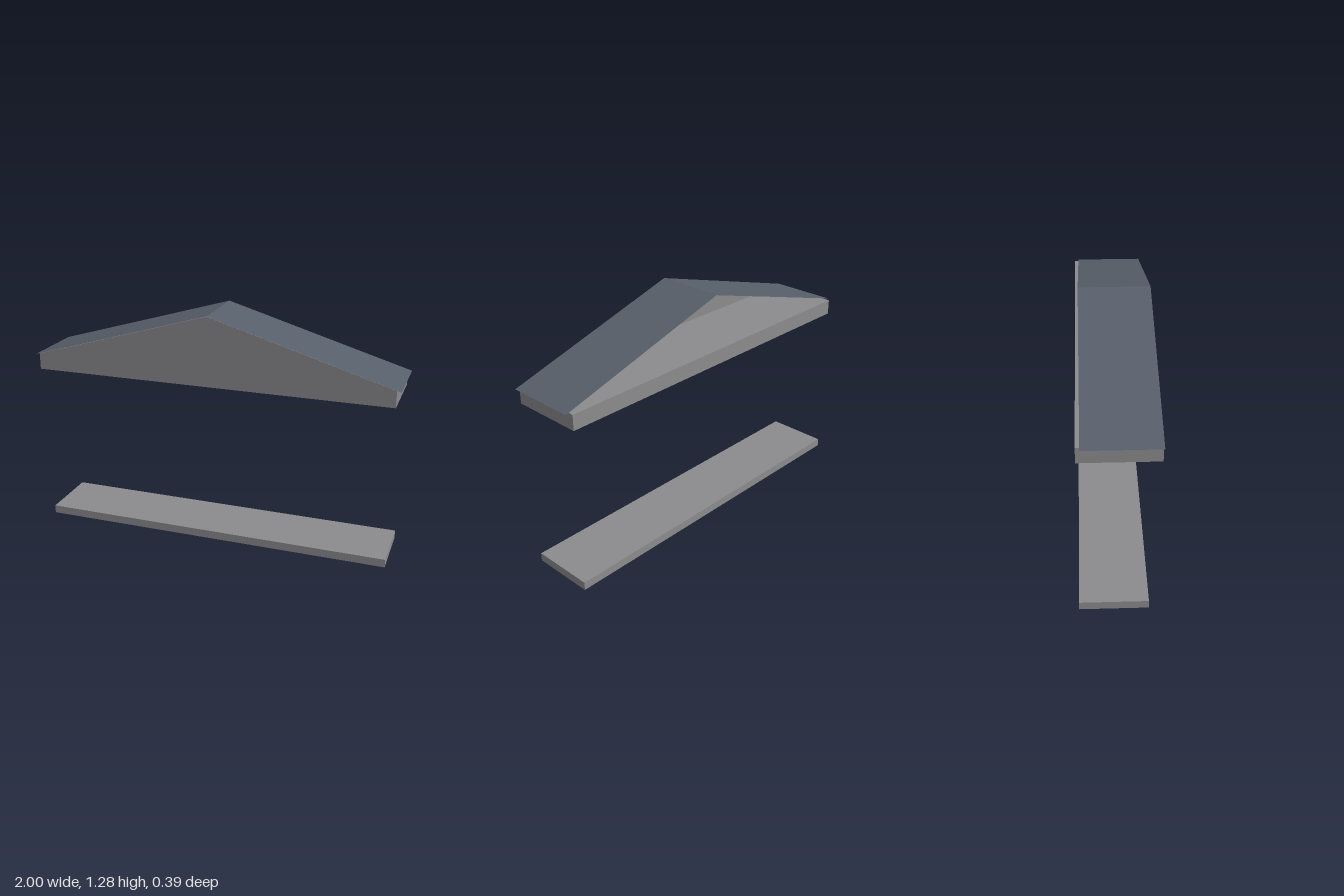
import * as THREE from 'three';

const grey = new THREE.MeshStandardMaterial({ color: 0x8c8c8e, name: 'stone grey' });
const slate = new THREE.MeshStandardMaterial({ color: 0x575f6a, name: 'slate blue', side: THREE.DoubleSide });

// Block given by its lower and upper corners
function block(name, [x0, y0, z0], [x1, y1, z1]) {
  const mesh = new THREE.Mesh(new THREE.BoxGeometry(x1 - x0, y1 - y0, z1 - z0), grey);
  mesh.position.set((x0 + x1) / 2, (y0 + y1) / 2, (z0 + z1) / 2);
  mesh.name = name;
  return mesh;
}

export function createModel() {
  const model = new THREE.Group();
  model.name = 'pediment';
  const eave = 0.991, ridge = 1.285, roofBack = -0.175, roofFront = 0.198;

  // Floor slab and the beam under the gable
  model.add(block('baseSlab', [-0.977, 0, -0.195], [0.977, 0.045, 0.15]));
  model.add(block('entablatureBeam', [-0.977, 0.908, -0.195], [0.977, 0.991, 0.195]));

  // Triangular gable wall at the front, open behind
  const triangle = new THREE.Shape([
    new THREE.Vector2(-0.977, 0.991),
    new THREE.Vector2(0.977, 0.991),
    new THREE.Vector2(0.977, 0.996),
    new THREE.Vector2(0, ridge - 0.002),
    new THREE.Vector2(-0.977, 0.996),
  ]);
  const gable = new THREE.Mesh(
    new THREE.ExtrudeGeometry(triangle, { depth: 0.01, bevelEnabled: false }), grey);
  gable.position.z = 0.185;
  gable.name = 'gableWall';
  model.add(gable);

  // Two thin roof slopes meeting at the ridge
  for (const side of [-1, 1]) {
    const slope = new THREE.PlaneGeometry(Math.hypot(1, ridge - eave), roofFront - roofBack);
    slope.rotateX(-Math.PI / 2);
    slope.rotateZ(-side * Math.atan(ridge - eave));
    const roof = new THREE.Mesh(slope, slate);
    roof.position.set(side * 0.5, (eave + ridge) / 2, (roofFront + roofBack) / 2);
    roof.name = side > 0 ? 'leftRoofSlope' : 'rightRoofSlope';
    model.add(roof);
  }
  return model;
}
